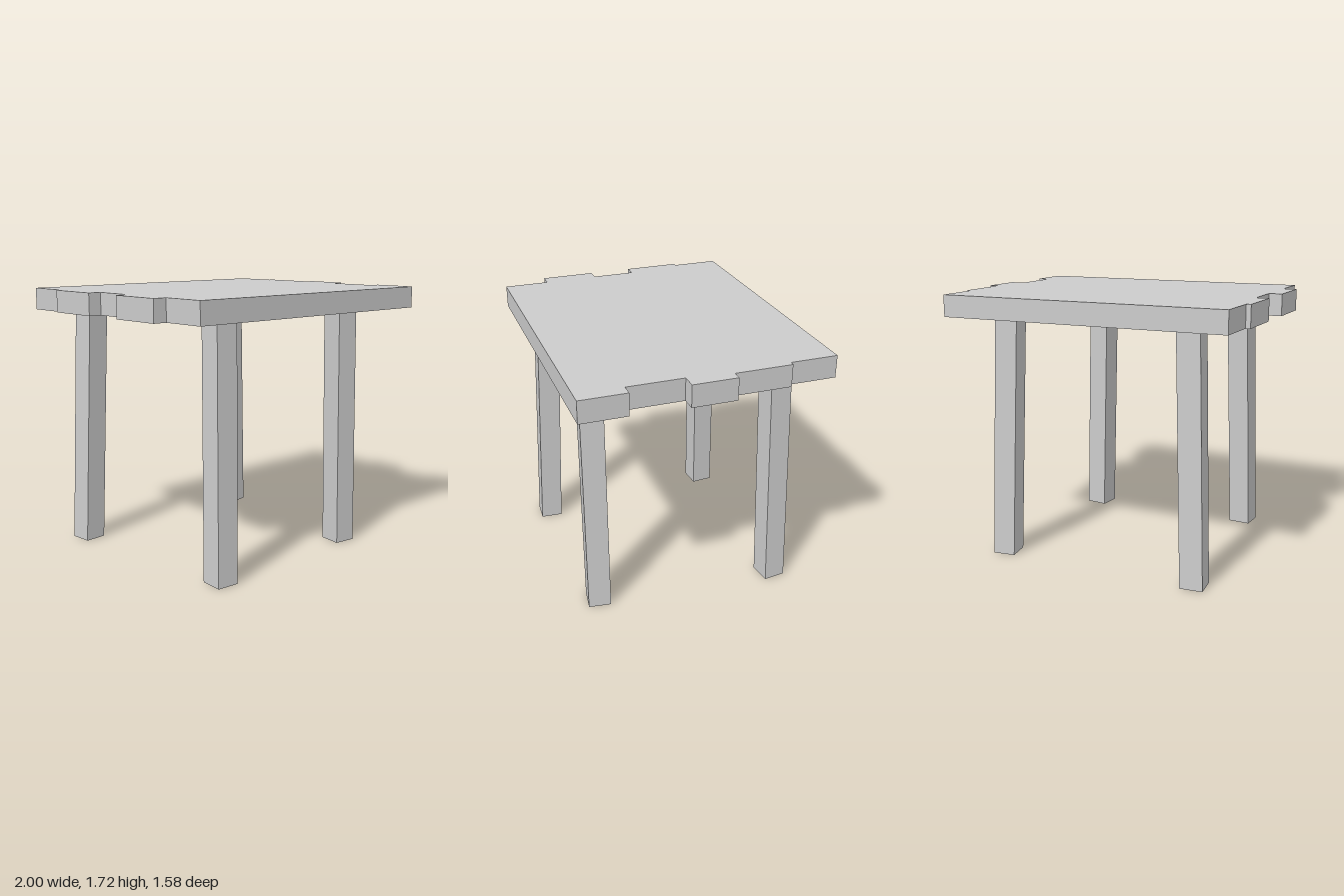
import * as THREE from 'three';

const LEG_HEIGHT = 1.58, TOP_THICKNESS = 0.14, LEG_WIDTH = 0.146;

// Planks from back to front: [back z, front z, right end x, left end x]
const PLANKS = [
  [-0.79, -0.49, -0.97, 0.91],
  [-0.49, -0.13, -1.0, 0.94],
  [-0.13, 0.15, -0.915, 1.0],
  [0.15, 0.5, -1.0, 0.905],
  [0.5, 0.79, -0.91, 0.98],
];

// Legs: foot centre, head centre (x, z) and yaw
const LEGS = [
  { name: 'frontLeftLeg', foot: [0.51, 0.59], head: [0.478, 0.59], yaw: 0.13 },
  { name: 'frontRightLeg', foot: [-0.632, 0.643], head: [-0.592, 0.59], yaw: 0.07 },
  { name: 'backLeftLeg', foot: [0.608, -0.607], head: [0.553, -0.58], yaw: -0.135 },
  { name: 'backRightLeg', foot: [-0.733, -0.613], head: [-0.678, -0.583], yaw: -0.08 },
];

// One slab whose ends step in and out with the planks
function tableTopGeometry() {
  const leftEnds = PLANKS.flatMap(([z0, z1, , x]) => [[x, z0], [x, z1]]);
  const rightEnds = PLANKS.flatMap(([z0, z1, x]) => [[x, z0], [x, z1]]).reverse();
  const outline = [...leftEnds, ...rightEnds].map(([x, z]) => new THREE.Vector2(x, -z));
  const geometry = new THREE.ExtrudeGeometry(new THREE.Shape(outline), {
    depth: TOP_THICKNESS, bevelEnabled: false,
  });
  return geometry.rotateX(-Math.PI / 2).translate(0, LEG_HEIGHT, 0);
}

// Square post, yawed and leaning from foot to head with level ends
function legGeometry({ foot, head, yaw }) {
  const geometry = new THREE.BoxGeometry(LEG_WIDTH, LEG_HEIGHT, LEG_WIDTH);
  geometry.rotateY(-yaw).translate(0, LEG_HEIGHT / 2, 0);
  const p = geometry.attributes.position;
  for (let i = 0; i < p.count; i++) {
    const t = p.getY(i) / LEG_HEIGHT;
    p.setX(i, p.getX(i) + THREE.MathUtils.lerp(foot[0], head[0], t));
    p.setZ(i, p.getZ(i) + THREE.MathUtils.lerp(foot[1], head[1], t));
  }
  geometry.computeVertexNormals();
  return geometry;
}

export function createModel() {
  const group = new THREE.Group();
  group.name = 'table';
  const material = new THREE.MeshStandardMaterial({ color: 0xcccccc, flatShading: true });
  const add = (name, geometry) => {
    const mesh = new THREE.Mesh(geometry, material);
    mesh.name = name;
    group.add(mesh);
  };
  add('tableTop', tableTopGeometry());
  for (const leg of LEGS) add(leg.name, legGeometry(leg));
  return group;
}
